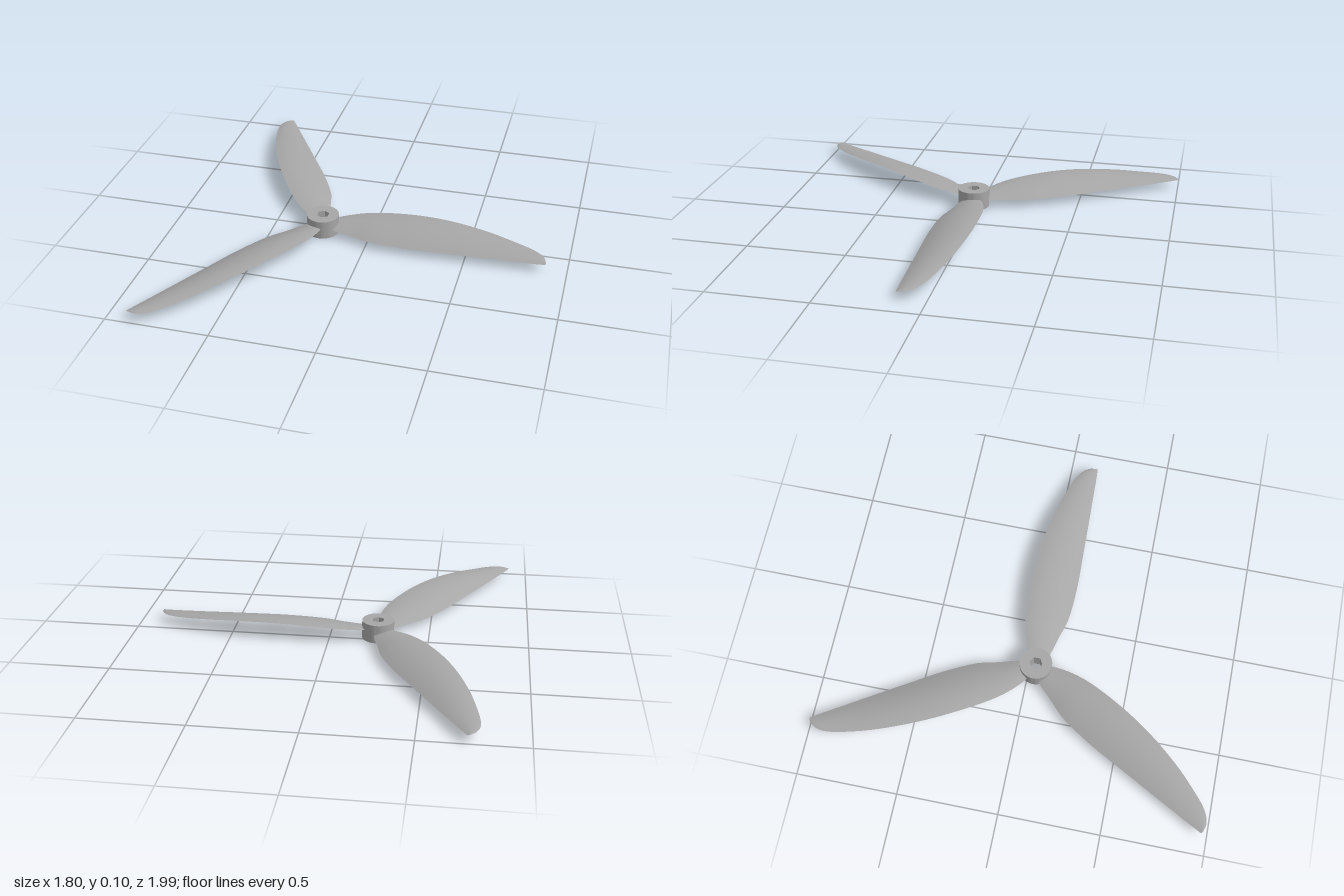
import * as THREE from 'three';
import { toCreasedNormals } from 'three/addons/utils/BufferGeometryUtils.js';

const HUB_X = -0.244, HUB_Z = 0.034;

// Leading and trailing edges of one blade, root to tip: [x, y, z]
const LEAD = [
  [-0.2, 0.055, -0.002], [-0.16, 0.058, -0.025], [-0.07, 0.07, -0.055], [0.03, 0.081, -0.071],
  [0.22, 0.092, -0.076], [0.4, 0.09, -0.065], [0.59, 0.076, -0.035], [0.72, 0.062, -0.001],
  [0.82, 0.053, 0.034], [0.865, 0.049, 0.062], [0.888, 0.047, 0.092], [0.897, 0.045, 0.13],
];
const TRAIL = [
  [-0.2, 0.042, 0.078], [-0.16, 0.04, 0.094], [-0.07, 0.037, 0.117], [0.03, 0.036, 0.145],
  [0.22, 0.037, 0.157], [0.4, 0.038, 0.153], [0.59, 0.039, 0.148], [0.72, 0.04, 0.144],
  [0.82, 0.041, 0.141], [0.865, 0.042, 0.139], [0.888, 0.043, 0.138], [0.895, 0.044, 0.137],
];

const curve = (pts) => new THREE.CatmullRomCurve3(pts.map((p) => new THREE.Vector3(...p)));

// Loft a cambered upper skin and a flatter lower skin between the two edges
function bladeGeometry() {
  const lead = curve(LEAD), trail = curve(TRAIL);
  const U = 44, V = 10, positions = [], index = [];
  for (const bulge of [0.09, 0.03]) {
    const upper = bulge === 0.09;
    const base = positions.length / 3;
    for (let i = 0; i <= U; i++) {
      const a = lead.getPoint(i / U), b = trail.getPoint(i / U);
      const height = bulge * a.distanceTo(b);
      for (let j = 0; j <= V; j++) {
        const v = j / V;
        const p = a.clone().lerp(b, v);
        positions.push(p.x - HUB_X, p.y + height * 4 * v * (1 - v), p.z - HUB_Z);
      }
    }
    for (let i = 0; i < U; i++) {
      for (let j = 0; j < V; j++) {
        const a = base + i * (V + 1) + j, b = a + 1, c = a + V + 1, d = c + 1;
        if (upper) index.push(a, b, c, b, d, c);
        else index.push(a, c, b, b, c, d);
      }
    }
  }
  const g = new THREE.BufferGeometry();
  g.setAttribute('position', new THREE.Float32BufferAttribute(positions, 3));
  g.setIndex(index);
  g.computeVertexNormals();
  return g;
}

// Round hub with a six-sided shaft hole
function hubGeometry() {
  const shape = new THREE.Shape().absarc(0, 0, 0.081, 0, Math.PI * 2, false);
  const hex = [];
  for (let i = 0; i < 6; i++) {
    const a = (i + 0.5) * Math.PI / 3;
    hex.push(new THREE.Vector2(0.032 * Math.cos(a), 0.032 * Math.sin(a)));
  }
  shape.holes.push(new THREE.Path(hex));
  const g = new THREE.ExtrudeGeometry(shape, { depth: 0.095, bevelEnabled: false, curveSegments: 32 });
  g.rotateX(-Math.PI / 2);
  return toCreasedNormals(g, 0.6);
}

export function createModel() {
  const model = new THREE.Group();
  model.name = 'propeller';
  const grey = new THREE.MeshStandardMaterial({ color: 0xa6a6a6 });
  grey.name = 'grey plastic';

  const rotor = new THREE.Group();
  rotor.name = 'rotor';
  rotor.position.set(HUB_X, 0, HUB_Z);
  model.add(rotor);

  const hub = new THREE.Mesh(hubGeometry(), grey);
  hub.name = 'hub';
  rotor.add(hub);

  // Three equal blades
  const geometry = bladeGeometry();
  for (let i = 0; i < 3; i++) {
    const blade = new THREE.Mesh(geometry, grey);
    blade.name = 'blade' + (i + 1);
    blade.rotation.y = i * Math.PI * 2 / 3;
    rotor.add(blade);
  }
  return model;
}
